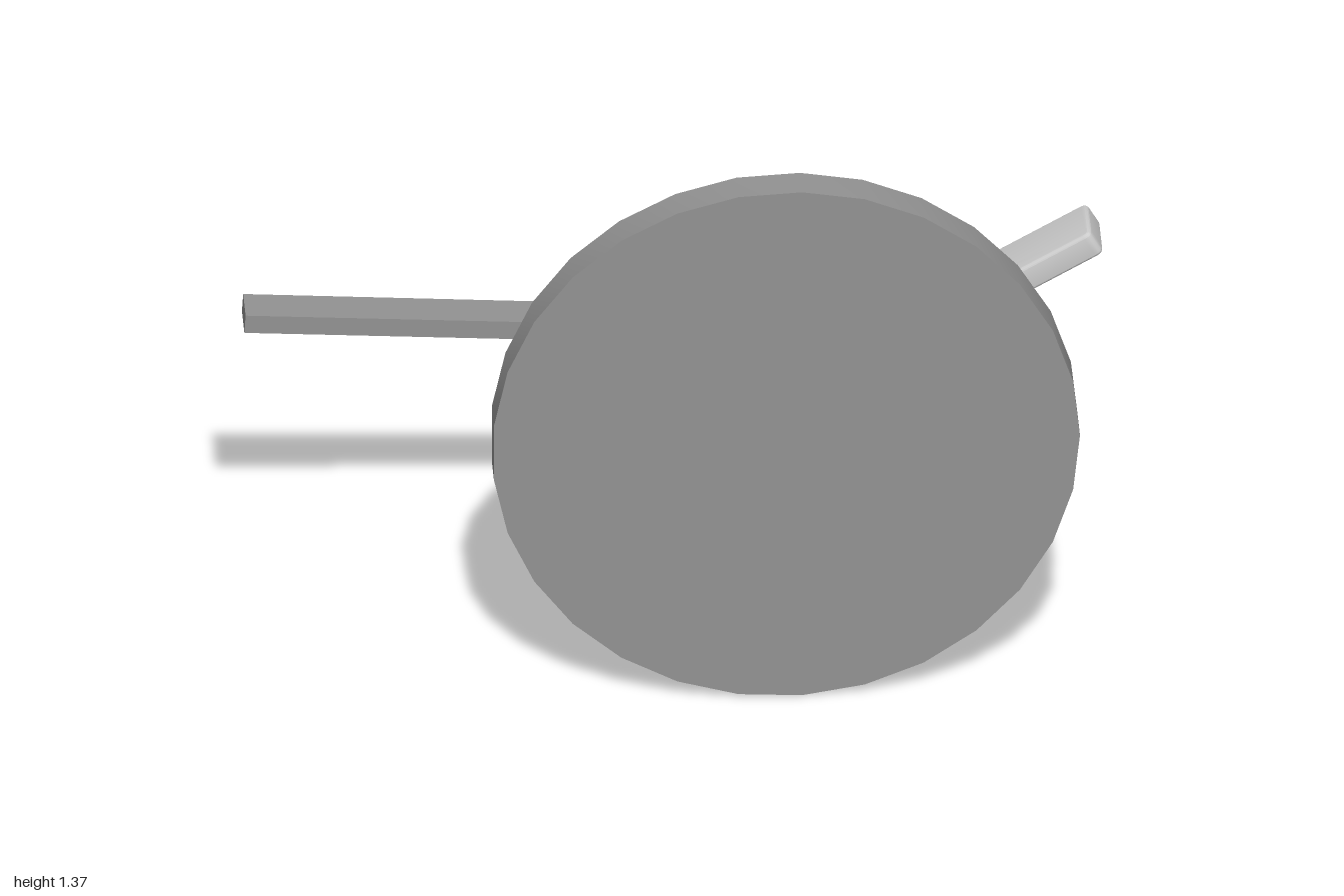
import * as THREE from 'three';
import { toCreasedNormals } from 'three/addons/utils/BufferGeometryUtils.js';

const SIDES = 29, CX = 0.241, CY = 0.688;

export function createModel() {
  const model = new THREE.Group();
  const darkFlat = new THREE.MeshStandardMaterial({ color: 0x939393, flatShading: true });
  const darkSmooth = new THREE.MeshStandardMaterial({ color: 0x939393 });
  const light = new THREE.MeshStandardMaterial({ color: 0xcccccc });

  const add = (name, geometry, material) => {
    const mesh = new THREE.Mesh(geometry, material);
    mesh.name = name;
    model.add(mesh);
    return mesh;
  };

  // Turned part on the main axis; profile is [radius, z] from front to back
  const turned = (name, profile, material = darkFlat) => {
    const pts = profile.map(([r, z]) => new THREE.Vector2(r, -z));
    const geo = new THREE.LatheGeometry(pts, SIDES, Math.PI / 2);
    geo.rotateX(-Math.PI / 2);
    add(name, toCreasedNormals(geo, 0.5), material).position.set(CX, CY, 0);
  };

  // Arm: outline lies in the x/z plane (drawn as x, -z), thickness runs along y
  const armGeometry = (shape, thick, bevel) => {
    const geo = new THREE.ExtrudeGeometry(shape, {
      depth: thick - 2 * bevel, bevelEnabled: bevel > 0,
      bevelSize: bevel, bevelThickness: bevel, bevelOffset: -bevel,
      bevelSegments: 5, curveSegments: 8,
    });
    geo.translate(0, 0, bevel - thick / 2);
    return geo.rotateX(-Math.PI / 2);
  };

  // Disc with a ring groove in its back face
  turned('disc', [
    [0, 0.30], [0.688, 0.30], [0.688, 0.212], [0.55, 0.212],
    [0.55, 0.25], [0.43, 0.25], [0.43, 0.212], [0, 0.212],
  ], darkSmooth);

  // Tapered collar
  turned('collar', [[0.274, 0.213], [0.25, 0.083], [0, 0.083]]);

  // Spindle and the tapered cap behind a narrow gap
  turned('spindle', [[0.131, 0.09], [0.131, -0.036], [0, -0.036]]);
  turned('spindleNeck', [[0.118, -0.03], [0.118, -0.05]]);
  turned('spindleCap', [[0, -0.044], [0.128, -0.044], [0.105, -0.144], [0, -0.144]]);

  // Long cranked bar, dipping slightly at the inner bend
  const bar = new THREE.Shape([
    [-1.24, 0.202], [-0.44, 0.202], [-0.255, 0.07], [-0.06, 0.052],
    [-0.06, 0.135], [-0.245, 0.155], [-0.43, 0.297], [-1.24, 0.3],
  ].map(([x, y]) => new THREE.Vector2(x, y)));
  const barGeo = armGeometry(bar, 0.047, 0);
  const pos = barGeo.attributes.position;
  for (let i = 0; i < pos.count; i++) {
    const bend = Math.max(0, 1 - Math.abs(pos.getX(i) + 0.25) / 0.17);
    pos.setY(i, pos.getY(i) - 0.025 * bend);
  }
  const barMesh = add('crankBar', barGeo, darkFlat);
  barMesh.position.set(CX, 0.679, 0);
  barMesh.rotation.z = -0.062;

  // Short handle with a narrow neck widening to a rounded grip
  const grip = new THREE.Shape();
  grip.moveTo(-0.03, -0.03);
  grip.lineTo(0.06, -0.03);
  grip.quadraticCurveTo(0.13, -0.041, 0.2, -0.041);
  grip.lineTo(0.7, -0.041);
  grip.quadraticCurveTo(0.72, -0.041, 0.72, -0.021);
  grip.lineTo(0.72, 0.082);
  grip.quadraticCurveTo(0.72, 0.102, 0.7, 0.102);
  grip.lineTo(0.26, 0.102);
  grip.bezierCurveTo(0.19, 0.1, 0.15, 0.016, 0.08, 0.016);
  grip.lineTo(-0.03, 0.016);
  grip.closePath();
  const handle = add('handle', toCreasedNormals(armGeometry(grip, 0.066, 0.011), 0.25), light);
  handle.position.set(0.361, 0.694, 0);
  handle.rotation.z = Math.PI / 6;

  return model;
}
